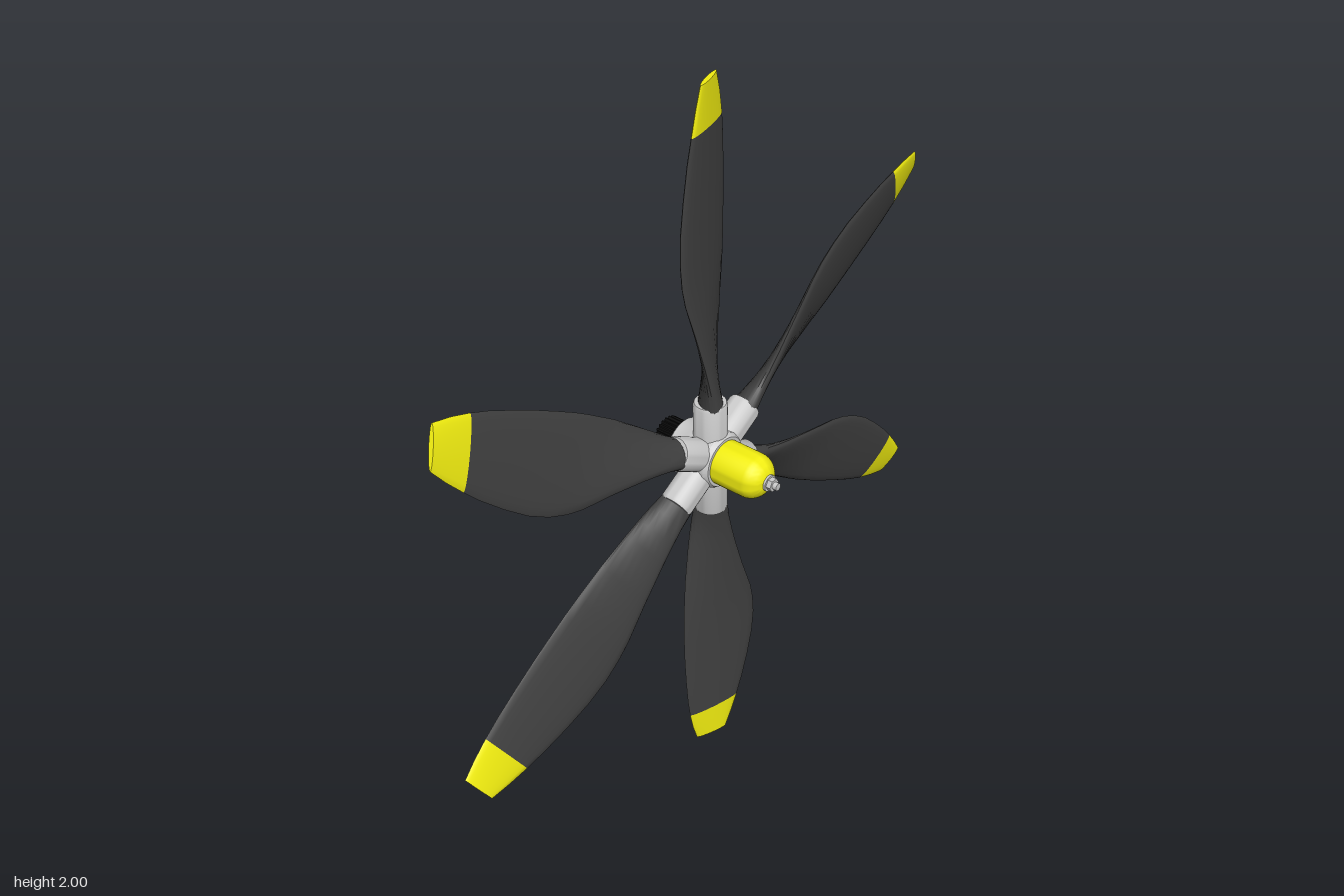
import * as THREE from 'three';
import { toCreasedNormals } from 'three/addons/utils/BufferGeometryUtils.js';

const material = (color) => new THREE.MeshStandardMaterial({ color });
const grey = material(0xcccccc);
const yellow = material(0xf2ee10);
const bladeGrey = material(0x404040);
const black = material(0x0c0c0c);

const BLADES = 6;
const MID_X = -0.036; // plane of the blades along the shaft

// blade sections: radius, leading z, trailing z, leading x, trailing x, thickness
const SECTIONS = [
  [0.15, 0.025, -0.025, 0.0, -0.07, 0.066],
  [0.20, 0.034, -0.036, -0.002, -0.072, 0.05],
  [0.25, 0.046, -0.046, -0.002, -0.072, 0.04],
  [0.30, 0.06, -0.055, -0.002, -0.071, 0.035],
  [0.40, 0.092, -0.07, -0.002, -0.069, 0.03],
  [0.50, 0.128, -0.079, -0.001, -0.067, 0.027],
  [0.55, 0.139, -0.082, -0.001, -0.066, 0.026],
  [0.61, 0.144, -0.083, -0.001, -0.065, 0.025],
  [0.68, 0.14, -0.083, -0.003, -0.064, 0.024],
  [0.76, 0.125, -0.081, -0.006, -0.062, 0.022],
  [0.84, 0.105, -0.077, -0.01, -0.06, 0.02],
  [0.895, 0.087, -0.071, -0.013, -0.058, 0.018],
  [0.95, 0.067, -0.061, -0.017, -0.056, 0.016],
  [1.0, 0.045, -0.047, -0.021, -0.054, 0.013],
];

// skin lens-shaped sections into a closed solid
function loft(sections) {
  const n = 20, pos = [], index = [];
  for (const [r, zl, zt, xl, xt, t] of sections) {
    const cx = (xl + xt) / 2, cz = (zl + zt) / 2;
    const hx = (xl - xt) / 2, hz = (zl - zt) / 2, half = Math.hypot(hx, hz);
    for (let i = 0; i < n; i++) {
      const a = (i / n) * Math.PI * 2, c = Math.cos(a), s = Math.sin(a) * t / 2 / half;
      pos.push(cx + hx * c + hz * s, r, cz + hz * c - hx * s);
    }
  }
  const rows = sections.length, last = (rows - 1) * n;
  for (let j = 0; j < rows - 1; j++) {
    for (let i = 0; i < n; i++) {
      const k = (i + 1) % n, a = j * n + i, b = j * n + k;
      index.push(a, b, a + n, b, b + n, a + n);
    }
  }
  for (let i = 1; i < n - 1; i++) {
    index.push(0, i + 1, i, last, last + i, last + i + 1);
  }
  const g = new THREE.BufferGeometry();
  g.setAttribute('position', new THREE.Float32BufferAttribute(pos, 3));
  g.setIndex(index);
  return toCreasedNormals(g, 0.75);
}

// turned part around the shaft; profile points are [radius, x]
function turned(profile, segments = 40, crease = 0.6) {
  const g = new THREE.LatheGeometry(profile.map(([r, x]) => new THREE.Vector2(r, x)), segments);
  g.rotateZ(-Math.PI / 2);
  return toCreasedNormals(g, crease);
}

// toothed shaft outline
function splineShape(teeth, inner, outer) {
  const shape = new THREE.Shape();
  for (let i = 0; i < teeth * 4; i++) {
    const r = i % 4 < 2 ? outer : inner, a = (i / (teeth * 4)) * Math.PI * 2;
    shape[i ? 'lineTo' : 'moveTo'](r * Math.cos(a), r * Math.sin(a));
  }
  shape.closePath();
  return shape;
}

export function createModel() {
  const model = new THREE.Group();
  model.name = 'propeller';
  const rotor = new THREE.Group();
  rotor.name = 'rotor';
  rotor.position.y = 1;
  model.add(rotor);

  const add = (parent, name, geometry, mat) => {
    const mesh = new THREE.Mesh(geometry, mat);
    mesh.name = name;
    parent.add(mesh);
    return mesh;
  };

  // hub body with rear collar
  add(rotor, 'hub', turned([
    [0, -0.125], [0.066, -0.125], [0.07, -0.121], [0.07, -0.085],
    [0.076, -0.075], [0.076, 0.0], [0.068, 0.012], [0, 0.012],
  ]), grey);

  // splined drive shaft
  const shaft = new THREE.ExtrudeGeometry(splineShape(24, 0.045, 0.051), { depth: 0.065, bevelEnabled: false });
  shaft.rotateY(Math.PI / 2);
  add(rotor, 'driveShaft', shaft, black).position.x = -0.185;

  // domed nose
  const dome = [[0, 0.01], [0.06, 0.01], [0.06, 0.1]];
  for (let i = 1; i <= 10; i++) {
    const a = (i / 10) * Math.PI / 2;
    dome.push([0.06 * Math.cos(a), 0.1 + 0.054 * Math.sin(a)]);
  }
  add(rotor, 'noseDome', turned(dome), yellow);

  // nose fitting: washer, hexagonal nut and stud
  add(rotor, 'noseWasher', turned([[0, 0.145], [0.022, 0.145], [0.022, 0.156], [0, 0.156]], 24), grey);
  add(rotor, 'noseNut', turned([[0, 0.155], [0.018, 0.155], [0.018, 0.169], [0, 0.169]], 6, 0.3), grey);
  add(rotor, 'noseStud', turned([[0, 0.165], [0.01, 0.165], [0.01, 0.181], [0, 0.181]], 16), grey);

  // blades with painted tips, each held in a socket
  const split = 11;
  const bladeGeo = loft(SECTIONS.slice(0, split + 1));
  const tipGeo = loft(SECTIONS.slice(split));
  const socketGeo = toCreasedNormals(new THREE.LatheGeometry([
    [0, 0], [0.044, 0], [0.044, 0.155], [0.041, 0.163], [0, 0.163],
  ].map(([r, y]) => new THREE.Vector2(r, y)), 32), 0.6);
  for (let i = 0; i < BLADES; i++) {
    const arm = new THREE.Group();
    arm.name = 'bladeAssembly' + (i + 1);
    arm.rotation.x = (i / BLADES) * Math.PI * 2;
    add(arm, 'bladeSocket', socketGeo, grey).position.x = MID_X;
    add(arm, 'blade', bladeGeo, bladeGrey);
    add(arm, 'bladeTip', tipGeo, yellow);
    rotor.add(arm);
  }
  return model;
}
